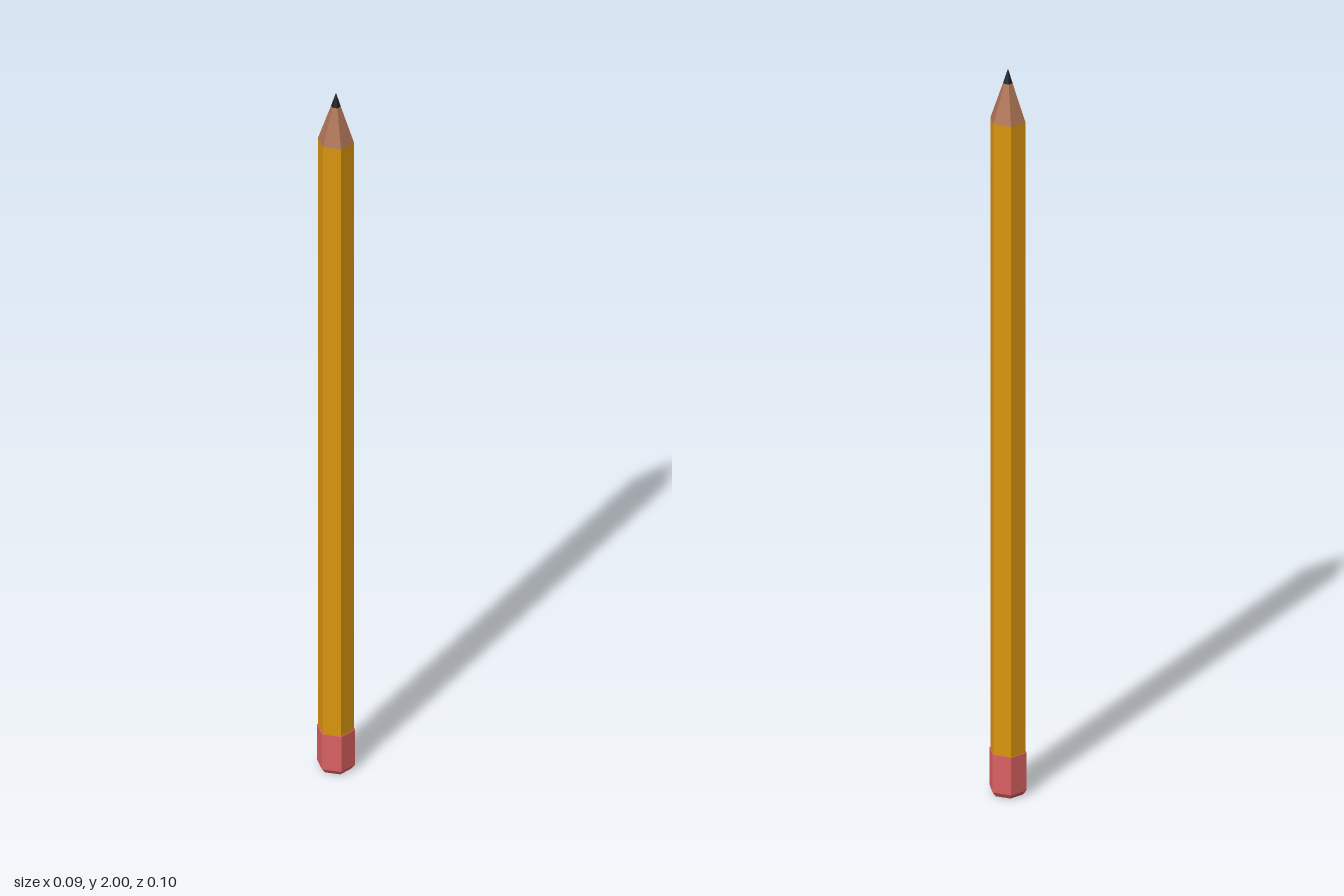
import * as THREE from 'three';

const paint = (name, color) => {
  const m = new THREE.MeshStandardMaterial({ color, flatShading: true });
  m.name = name;
  return m;
};

export function createModel() {
  const yellow = paint('yellow paint', 0xdb960f);
  const pink = paint('pink rubber', 0xdb6262);
  const wood = paint('bare wood', 0xad7355);
  const graphite = paint('graphite', 0x1a1d1f);

  const model = new THREE.Group();
  model.name = 'pencil';

  // Six-sided section from y0 (radius r0) to y1 (radius r1), corners on the z axis
  const section = (name, material, y0, r0, y1, r1, open = false) => {
    const geometry = new THREE.CylinderGeometry(r1, r0, y1 - y0, 6, 1, open);
    geometry.translate(0, (y0 + y1) / 2, 0);
    const mesh = new THREE.Mesh(geometry, material);
    mesh.name = name;
    model.add(mesh);
  };

  // Eraser with a bevelled end
  section('eraserBevel', pink, 0, 0.04, 0.013, 0.05);
  section('eraser', pink, 0.013, 0.05, 0.117, 0.05);

  // Painted shaft
  section('shaft', yellow, 0.117, 0.047, 1.862, 0.047);

  // Sharpened end
  section('sharpenedWood', wood, 1.862, 0.047, 1.964, 0.0125, true);
  section('lead', graphite, 1.964, 0.0125, 2, 0.001);

  return model;
}
